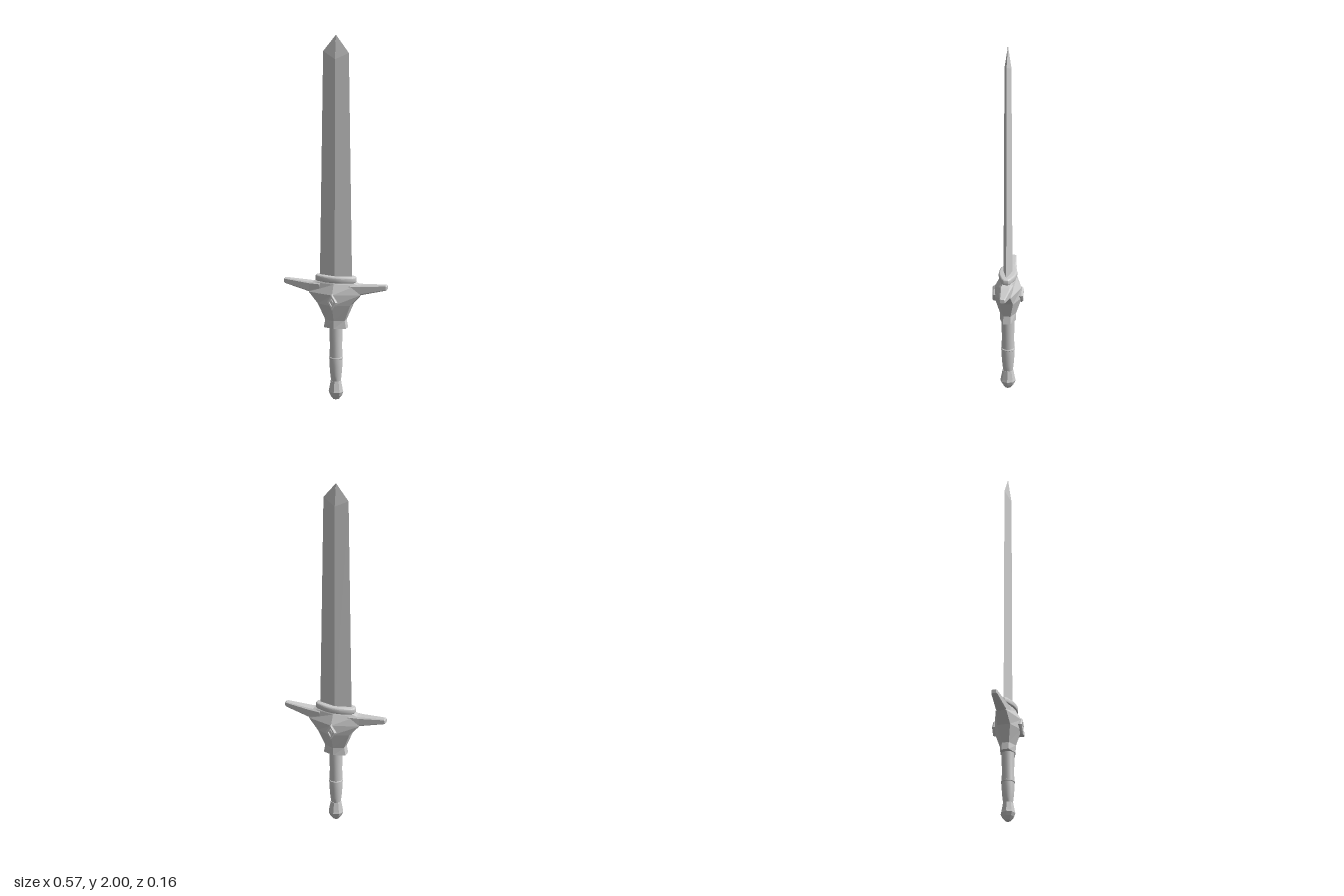
import * as THREE from 'three';
import { toCreasedNormals } from 'three/addons/utils/BufferGeometryUtils.js';

const flat = new THREE.MeshStandardMaterial({ color: 0xcccccc, flatShading: true });
const smooth = new THREE.MeshStandardMaterial({ color: 0xcccccc });

function add(parent, name, geometry, material = flat) {
  const mesh = new THREE.Mesh(geometry, material);
  mesh.name = name;
  parent.add(mesh);
  return mesh;
}

// Skin between rings of [x, y, z] corners, with both ends closed
function loft(rings) {
  const out = [];
  const n = rings[0].length;
  const tri = (a, b, c) => out.push(...a, ...b, ...c);
  for (let i = 0; i < rings.length - 1; i++) {
    for (let j = 0; j < n; j++) {
      const k = (j + 1) % n;
      tri(rings[i][j], rings[i][k], rings[i + 1][k]);
      tri(rings[i][j], rings[i + 1][k], rings[i + 1][j]);
    }
  }
  const first = rings[0], last = rings[rings.length - 1];
  for (let j = 1; j < n - 1; j++) {
    tri(first[0], first[j + 1], first[j]);
    tri(last[0], last[j], last[j + 1]);
  }
  const g = new THREE.BufferGeometry();
  g.setAttribute('position', new THREE.Float32BufferAttribute(out, 3));
  g.computeVertexNormals();
  return g;
}

const lathe = (points, sides) =>
  new THREE.LatheGeometry(points.map(([r, y]) => new THREE.Vector2(r, y)), sides);

const diamond = (w, h) => [[w, 0], [0, h], [-w, 0], [0, -h]].map(([x, y]) => new THREE.Vector2(x, y));

export function createModel() {
  const sword = new THREE.Group();
  sword.name = 'sword';

  // Blade: diamond section, ridge corners lower than edge corners at the point
  const bladeRing = (x, z, yEdge, yRidge) =>
    [[0, yRidge, z], [x, yEdge, 0], [0, yRidge, -z], [-x, yEdge, 0]];
  add(sword, 'blade', loft([
    bladeRing(0.09, 0.024, 0.64, 0.64),
    bladeRing(0.072, 0.019, 1.905, 1.87),
    bladeRing(0.0005, 0.0005, 2, 2),
  ]));

  // Collar: long rounded octagon with a bevelled rim
  const quarter = [[0.111, 0.012], [0.098, 0.025], [0.045, 0.044], [0.015, 0.048]];
  const mirrored = quarter.map(([x, y]) => [-x, y]).reverse();
  const half = [...quarter, ...mirrored];
  const outline = [...half, ...half.map(([x, y]) => [-x, -y])];
  const collar = new THREE.ExtrudeGeometry(
    new THREE.Shape(outline.map(([x, y]) => new THREE.Vector2(x, y))),
    { depth: 0.018, bevelEnabled: true, bevelSize: 0.008, bevelOffset: -0.008, bevelThickness: 0.008, bevelSegments: 3 });
  collar.rotateX(-Math.PI / 2).translate(0, 0.652, 0);
  add(sword, 'collar', toCreasedNormals(collar, 0.6), smooth);

  // Guard body: six-sided sections with a ridge down the front and back
  const bodyRing = ([y, x, zSide, zRidge]) => [
    [0, y, zRidge], [x, y, zSide], [x, y, -zSide],
    [0, y, -zRidge], [-x, y, -zSide], [-x, y, zSide],
  ];
  add(sword, 'guardBody', loft([
    [0.393, 0.062, 0.02, 0.042],
    [0.436, 0.054, 0.019, 0.044],
    [0.525, 0.09, 0.036, 0.074],
    [0.584, 0.143, 0.029, 0.073],
    [0.637, 0.125, 0.022, 0.045],
    [0.648, 0.09, 0.02, 0.04],
  ].map(bodyRing)));

  // Guard arms: tapering bars with chamfered edges
  const armRing = ([x, bottom, top, z, c]) => [
    [x, top, -z + c], [x, top, z - c], [x, top - c, z], [x, bottom + c, z],
    [x, bottom, z - c], [x, bottom, -z + c], [x, bottom + c, -z], [x, top - c, -z],
  ];
  for (const side of [1, -1]) {
    const arm = add(sword, side > 0 ? 'leftGuardArm' : 'rightGuardArm', loft([
      [0.08, 0.56, 0.638, 0.036, 0.008],
      [0.143, 0.584, 0.637, 0.028, 0.007],
      [0.28, 0.617, 0.645, 0.016, 0.004],
      [0.286, 0.621, 0.641, 0.012, 0.003],
    ].map(armRing)));
    if (side < 0) arm.rotation.y = Math.PI;
  }

  // Gem in a raised diamond frame, front and back
  for (const side of [1, -1]) {
    const ornament = new THREE.Group();
    ornament.name = side > 0 ? 'frontOrnament' : 'backOrnament';
    ornament.position.y = 0.547;
    if (side < 0) ornament.rotation.y = Math.PI;
    sword.add(ornament);
    const shape = new THREE.Shape(diamond(0.022, 0.038));
    shape.holes.push(new THREE.Path(diamond(0.014, 0.026)));
    const frame = new THREE.ExtrudeGeometry(shape,
      { depth: 0.02, bevelEnabled: true, bevelSize: 0.005, bevelThickness: 0.007, bevelSegments: 1 });
    add(ornament, 'gemFrame', frame.translate(0, 0, 0.055));
    const gemRing = (w, h, z) => diamond(w, h).map((p) => [p.x, p.y, z]);
    add(ornament, 'gem', loft([gemRing(0.016, 0.03, 0.06), gemRing(0.015, 0.028, 0.073), gemRing(0.006, 0.012, 0.079)]));
  }

  // Grip with a slim band
  const grip = lathe([[0.025, 0.095], [0.03, 0.13], [0.034, 0.18], [0.035, 0.22], [0.038, 0.222],
    [0.038, 0.229], [0.034, 0.231], [0.033, 0.3], [0.036, 0.4]], 16);
  add(sword, 'grip', toCreasedNormals(grip, 0.6), smooth);

  // Faceted pommel
  add(sword, 'pommel', lathe([[0, 0], [0.016, 0], [0.032, 0.02], [0.041, 0.04], [0.038, 0.052],
    [0.029, 0.1], [0, 0.104]], 8));

  return sword;
}
